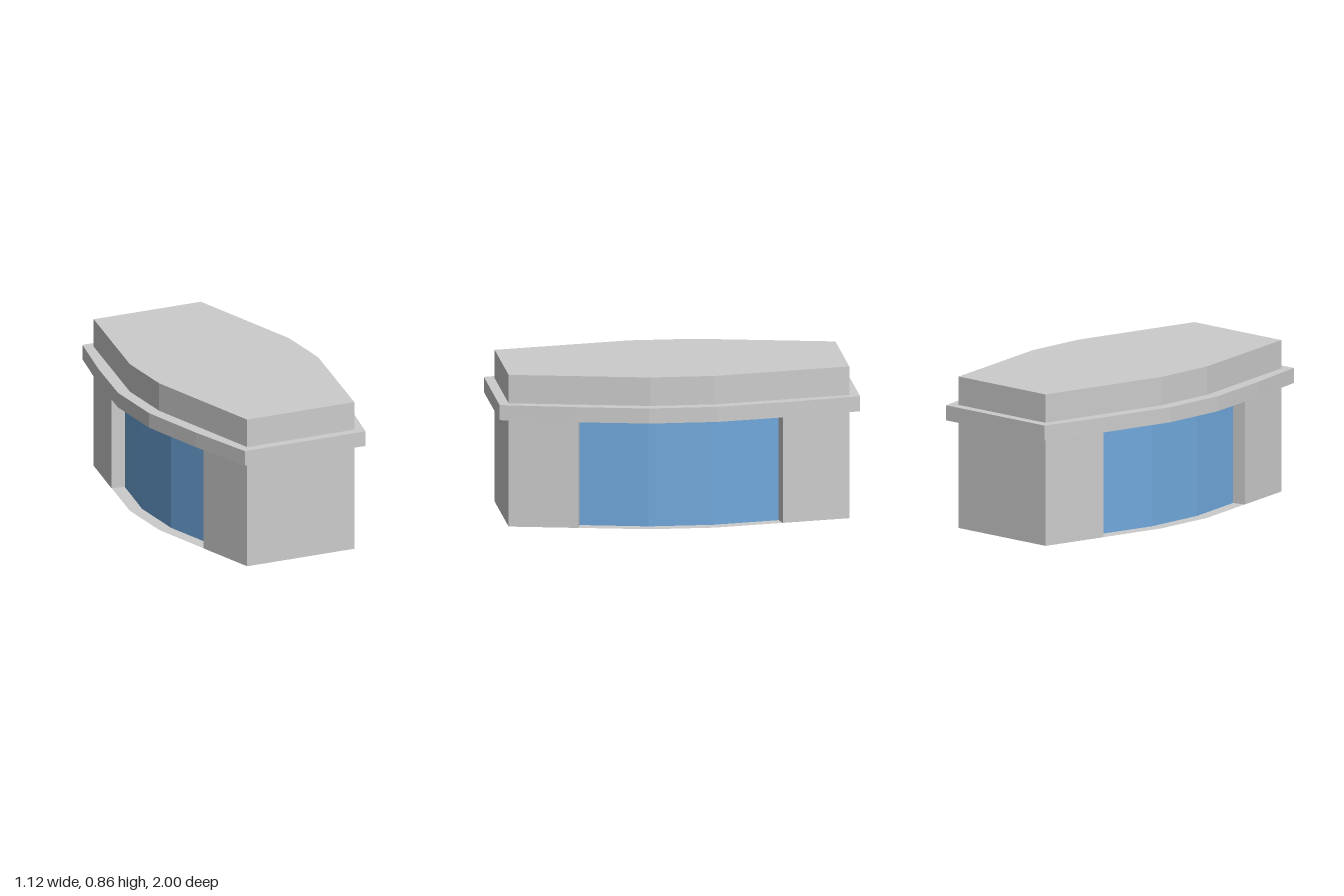
import * as THREE from 'three';

const WALL_TOP = 0.61, SLAB_TOP = 0.695, TOP = 0.855;

const grey = new THREE.MeshStandardMaterial({ color: 0xcccccc, flatShading: true });
const greySheet = new THREE.MeshStandardMaterial({ color: 0xcccccc, flatShading: true, side: THREE.DoubleSide });
const glass = new THREE.MeshStandardMaterial({ color: 0x6fa8dc, flatShading: true, side: THREE.DoubleSide });

// Mirrors a quarter outline of [x, z] points (end to middle) into a full plan shape
function planShape(quarter) {
  const back = [...quarter].reverse().map(([x, z]) => [x, -z]);
  const side = [...quarter, ...back];
  const other = [...side].reverse().map(([x, z]) => [-x, z]);
  return new THREE.Shape([...side, ...other].map(([x, z]) => new THREE.Vector2(x, -z)));
}

function named(name, geometry, material, y = 0) {
  const mesh = new THREE.Mesh(geometry, material);
  mesh.name = name;
  mesh.position.y = y;
  return mesh;
}

function prism(name, quarter, y0, y1) {
  const geometry = new THREE.ExtrudeGeometry(planShape(quarter), { depth: y1 - y0, bevelEnabled: false });
  return named(name, geometry.rotateX(-Math.PI / 2), grey, y0);
}

// Upright wall from the floor to the slab along a plan path of [x, z] points
function wall(name, path, material) {
  const positions = [], index = [];
  path.forEach(([x, z], i) => {
    positions.push(x, 0, z, x, WALL_TOP, z);
    if (i > 0) {
      const a = 2 * i - 2;
      index.push(a, a + 2, a + 1, a + 2, a + 3, a + 1);
    }
  });
  const geometry = new THREE.BufferGeometry();
  geometry.setAttribute('position', new THREE.Float32BufferAttribute(positions, 3));
  geometry.setIndex(index);
  const flat = geometry.toNonIndexed();
  flat.computeVertexNormals();
  return named(name, flat, material);
}

export function createModel() {
  const group = new THREE.Group();
  const body = [[0.33, 0.945], [0.49, 0.18]];

  // Thin floor sheet, showing as a ledge below the windows
  group.add(named('floor', new THREE.ShapeGeometry(planShape(body)).rotateX(-Math.PI / 2), greySheet));

  // Solid ends with returns running in to the windows
  const jambOut = [0.41, 0.567], jambIn = [0.335, 0.552];
  for (const s of [1, -1]) {
    const half = [jambIn, jambOut, body[0]].map(([x, z]) => [x, z * s]);
    const otherHalf = [...half].reverse().map(([x, z]) => [-x, z]);
    const path = [...half, ...otherHalf];
    group.add(wall(s > 0 ? 'frontEndWall' : 'backEndWall', s > 0 ? path.reverse() : path, greySheet));
  }

  // Recessed window bands on both sides
  for (const s of [1, -1]) {
    const path = [jambIn, [0.415, 0.18], [0.415, -0.18], [jambIn[0], -jambIn[1]]].map(([x, z]) => [x * s, z * s]);
    group.add(wall(s > 0 ? 'leftWindow' : 'rightWindow', path, glass));
  }

  // Overhanging roof slab and the raised block on it
  group.add(prism('roofSlab', [[0.372, 1], [0.474, 0.6], [0.558, 0.19]], WALL_TOP, SLAB_TOP));
  group.add(prism('roofBlock', body, SLAB_TOP, TOP));
  return group;
}
